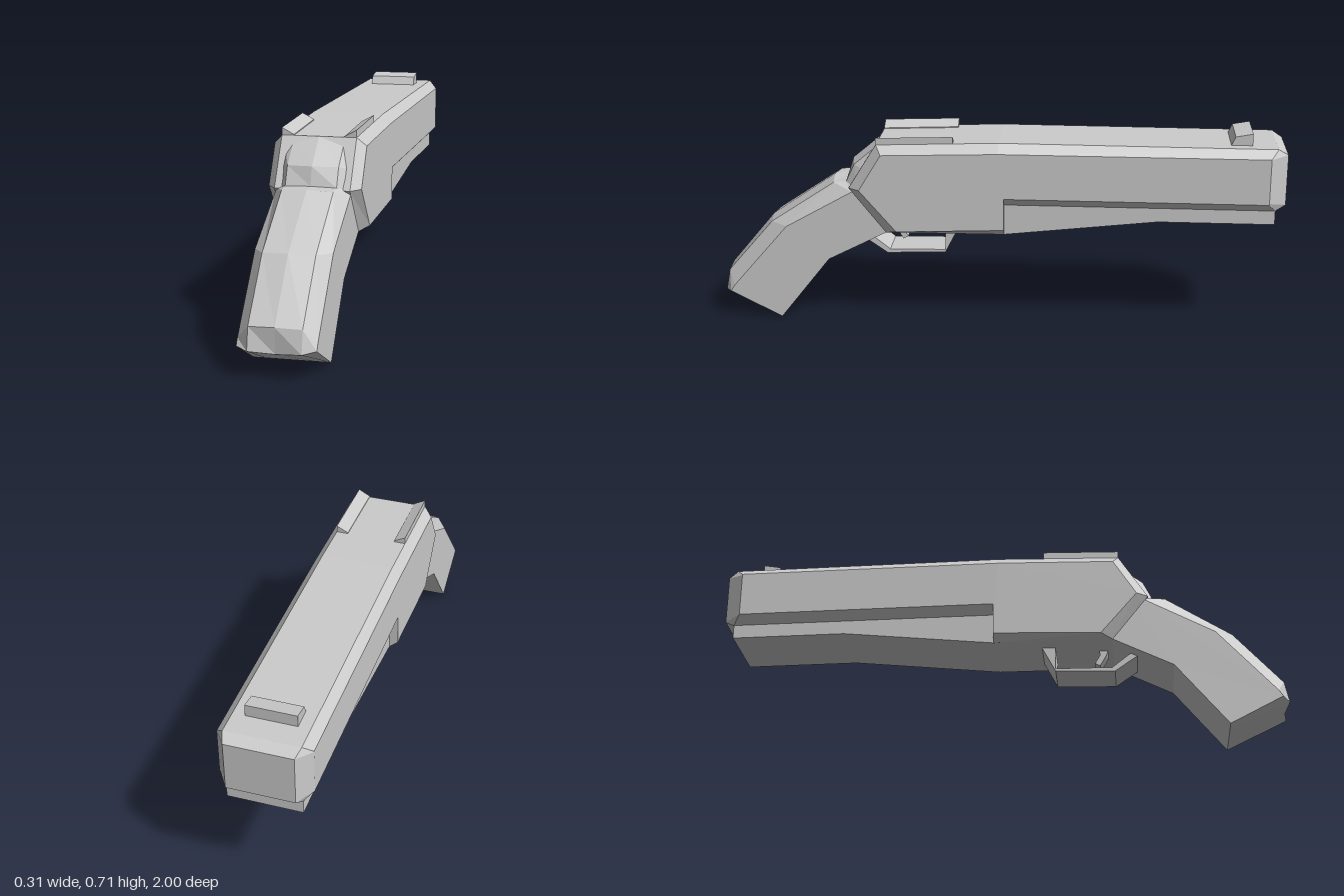
import * as THREE from 'three';

const material = new THREE.MeshStandardMaterial({ color: 0xcccccc, flatShading: true });

// Joins side outlines [z, y, optional x] that share a point count, ordered by rising x, and caps both ends.
function slab(layers) {
  const flat = (outline) => outline.map(([z, y]) => new THREE.Vector2(y, z));
  if (THREE.ShapeUtils.area(flat(layers[0].outline)) < 0) {
    layers = layers.map(({ x, outline }) => ({ x, outline: [...outline].reverse() }));
  }
  const n = layers[0].outline.length;
  const positions = [], index = [];
  for (const { x, outline } of layers) {
    for (const [z, y, px] of outline) {
      positions.push(px === undefined ? x : Math.sign(x) * px, y, z);
    }
  }
  for (let i = 0; i < layers.length - 1; i++) {
    for (let j = 0; j < n; j++) {
      const k = (j + 1) % n;
      const a = i * n + j, b = i * n + k, c = b + n, d = a + n;
      index.push(a, b, c, a, c, d);
    }
  }
  const last = (layers.length - 1) * n;
  for (const [a, b, c] of THREE.ShapeUtils.triangulateShape(flat(layers[0].outline), [])) index.push(a, c, b);
  for (const [a, b, c] of THREE.ShapeUtils.triangulateShape(flat(layers.at(-1).outline), [])) {
    index.push(last + a, last + b, last + c);
  }
  const geometry = new THREE.BufferGeometry();
  geometry.setAttribute('position', new THREE.Float32BufferAttribute(positions, 3));
  geometry.setIndex(index);
  const result = geometry.toNonIndexed();
  result.computeVertexNormals();
  return result;
}

// Mirrors layers given from the middle outwards, then joins them.
function symmetric(layers) {
  const left = layers.filter((l) => l.x > 0);
  const right = left.map(({ x, outline }) => ({ x: -x, outline })).reverse();
  return slab([...right, ...layers]);
}

export function createModel() {
  const group = new THREE.Group();
  const add = (name, geometry) => {
    const mesh = new THREE.Mesh(geometry, material);
    mesh.name = name;
    group.add(mesh);
  };

  // Receiver and barrel in one chamfered body
  add('body', symmetric([
    { x: 0.127, outline: [
      [0.43, 0.66], [0, 0.675], [-0.965, 0.672], [-1, 0.65, 0.115], [-1, 0.47, 0.115],
      [-0.965, 0.45], [-0.02, 0.45], [-0.02, 0.34], [0.4, 0.337], [0.53, 0.5],
    ] },
    { x: 0.157, outline: [
      [0.41, 0.63], [0, 0.643], [-0.94, 0.643], [-0.94, 0.64], [-0.94, 0.485],
      [-0.94, 0.48], [-0.02, 0.48], [-0.02, 0.365], [0.36, 0.35], [0.49, 0.5],
    ] },
  ]));

  // Fore-end below the barrel
  add('foreEnd', symmetric([
    { x: 0.127, outline: [[0.05, 0.5], [-0.965, 0.5], [-0.965, 0.4], [-0.56, 0.4], [-0.02, 0.34], [0.05, 0.34]] },
  ]));

  // Grip with a ridged, chamfered back
  const gripFront = [[0.3, 0.4], [0.4, 0.337], [0.61, 0.23], [0.79, 0.003]];
  add('grip', symmetric([
    { x: 0, outline: [...gripFront, [0.988, 0.083], [0.99, 0.168], [0.83, 0.358], [0.6, 0.513], [0.55, 0.515], [0.53, 0.577], [0.43, 0.66]] },
    { x: 0.086, outline: [...gripFront, [1, 0.09], [0.985, 0.165], [0.82, 0.355], [0.59, 0.507], [0.545, 0.512], [0.515, 0.575], [0.42, 0.655]] },
    { x: 0.127, outline: [...gripFront, [0.975, 0.097], [0.96, 0.12], [0.76, 0.35], [0.52, 0.485], [0.5, 0.495], [0.46, 0.56], [0.4, 0.64]] },
  ]));

  // Rear sight: a pair of wedge rails rising outwards
  const railInner = { x: 0.086, outline: [[0.43, 0.65], [0.43, 0.663], [0.16, 0.673], [0.16, 0.65]] };
  const railOuter = { x: 0.127, outline: [[0.43, 0.65], [0.43, 0.685], [0.16, 0.694], [0.16, 0.65]] };
  const flip = ({ x, outline }) => ({ x: -x, outline });
  add('leftRearSight', slab([railInner, railOuter]));
  add('rightRearSight', slab([flip(railOuter), flip(railInner)]));

  add('frontSight', symmetric([
    { x: 0.086, outline: [[-0.8, 0.66], [-0.82, 0.703], [-0.88, 0.714], [-0.88, 0.66]] },
  ]));

  // Trigger guard as a bent strap
  add('triggerGuard', symmetric([
    { x: 0.07, outline: [
      [0.5, 0.305], [0.405, 0.24], [0.195, 0.247], [0.145, 0.345],
      [0.195, 0.345], [0.195, 0.257], [0.395, 0.254], [0.46, 0.305],
    ] },
  ]));

  add('trigger', symmetric([
    { x: 0.03, outline: [[0.39, 0.36], [0.375, 0.32], [0.352, 0.28], [0.334, 0.29], [0.352, 0.32], [0.35, 0.36]] },
  ]));

  return group;
}
